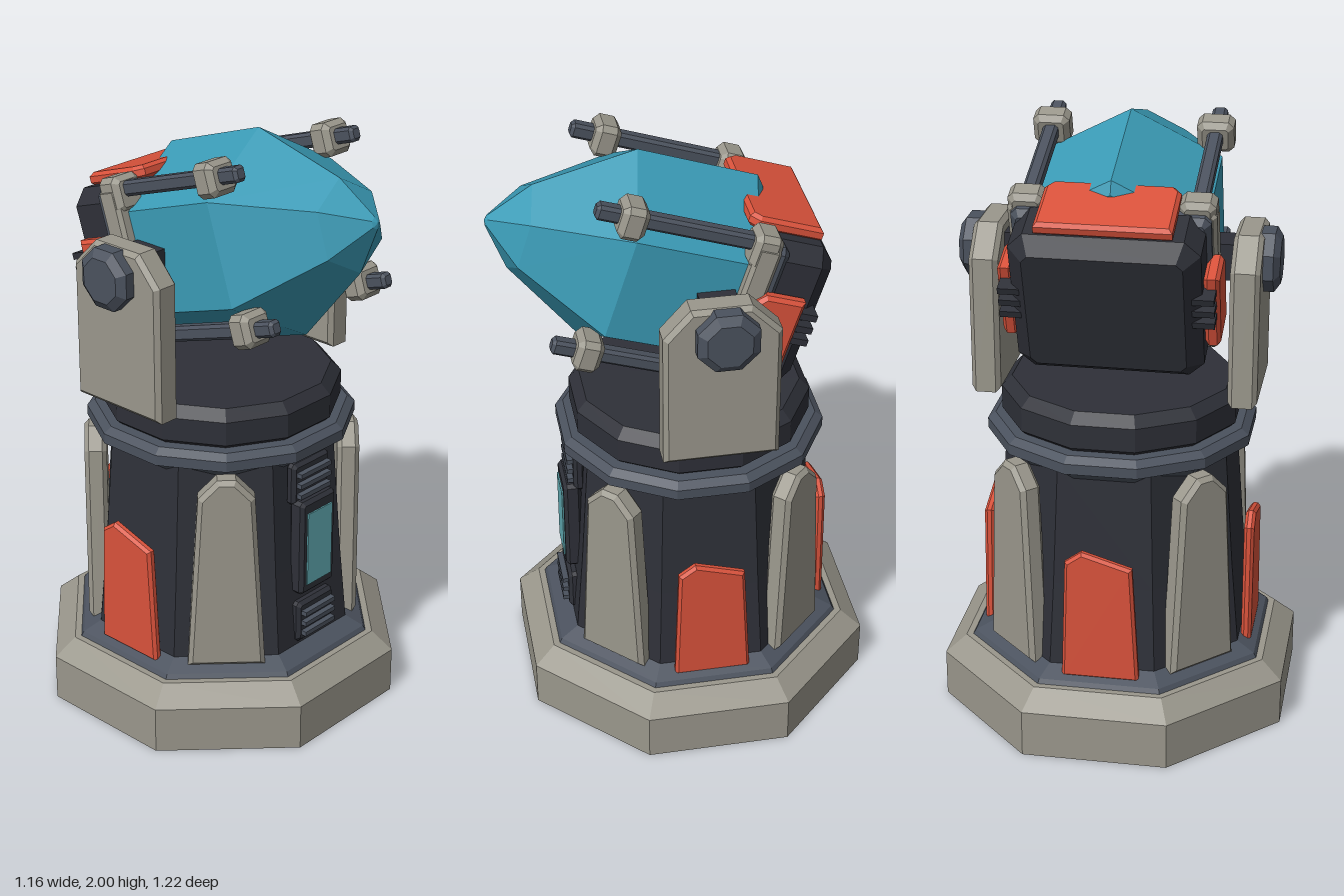
import * as THREE from 'three';

const mat = (color) => new THREE.MeshStandardMaterial({ color, flatShading: true });
const M = {
  armour: mat(0x9a978c), dark: mat(0x2e3038), steel: mat(0x4b525e),
  red: mat(0xd9523b), crystal: mat(0x3a9ab5), screen: mat(0x62adb5),
};

function add(parent, name, geo, material, x = 0, y = 0, z = 0) {
  const m = new THREE.Mesh(geo, material);
  m.name = name;
  m.position.set(x, y, z);
  parent.add(m);
  return m;
}

// Many-sided turned solid; radii are measured to the flats, which face the axes
function turned(profile, sides) {
  const k = 1 / Math.cos(Math.PI / sides);
  return new THREE.LatheGeometry(
    profile.map(([r, y]) => new THREE.Vector2(r * k, y)), sides, Math.PI / sides);
}

// Outline extruded to depth d, centred on z, with a chamfer b kept inside the depth
function plate(pts, d, b = 0.012) {
  const g = new THREE.ExtrudeGeometry(
    new THREE.Shape(pts.map(([x, y]) => new THREE.Vector2(x, y))),
    { depth: d - 2 * b, bevelThickness: b, bevelSize: b, bevelOffset: -b, bevelSegments: 1 });
  return g.translate(0, 0, b - d / 2);
}

// Box with chamfered corners
function block(w, h, d, b = 0.012) {
  const x = w / 2, y = h / 2;
  return plate([[-x + b, -y], [x - b, -y], [x, -y + b], [x, y - b],
    [x - b, y], [-x + b, y], [-x, y - b], [-x, -y + b]], d, b);
}

function buildTower() {
  const tower = new THREE.Group();
  tower.name = 'tower';
  tower.position.z = -0.03;
  add(tower, 'base', turned([[0, 0], [0.578, 0], [0.578, 0.16], [0.51, 0.22], [0, 0.22]], 8), M.armour);
  add(tower, 'skirt', turned([[0.5, 0.2], [0.48, 0.235], [0.42, 0.265], [0, 0.265]], 8), M.steel);
  add(tower, 'body', turned([[0.425, 0.22], [0.395, 0.55], [0.365, 0.96]], 8), M.dark);
  add(tower, 'collar', turned([[0.35, 0.9], [0.385, 0.94], [0.435, 0.965], [0.435, 1.0],
    [0.41, 1.02], [0, 1.02]], 12), M.steel);
  add(tower, 'turntable', turned([[0.36, 1.01], [0.388, 1.035], [0.388, 1.115],
    [0.355, 1.15], [0, 1.15]], 12), M.dark);

  // Buttresses on the four diagonal faces
  const buttress = plate([[-0.128, 0.25], [0.128, 0.25], [0.092, 0.87], [0.03, 0.935],
    [-0.03, 0.935], [-0.092, 0.87]], 0.075, 0.015);
  for (let i = 0; i < 4; i++) {
    const a = Math.PI / 4 + i * Math.PI / 2;
    add(tower, 'buttress', buttress, M.armour, 0.425 * Math.sin(a), 0, 0.425 * Math.cos(a)).rotation.y = a;
  }
  // Red guards on both sides and the back
  const guard = plate([[-0.128, 0.24], [0.128, 0.24], [0.105, 0.65], [-0.06, 0.7], [-0.115, 0.66]], 0.034, 0.01);
  for (let i = 1; i < 4; i++) {
    const a = i * Math.PI / 2;
    add(tower, 'guard', guard, M.red, 0.444 * Math.sin(a), 0, 0.444 * Math.cos(a)).rotation.y = a;
  }
  // Front screen with a vent above and below
  add(tower, 'screenFrame', block(0.17, 0.345, 0.06), M.dark, 0, 0.628, 0.41);
  add(tower, 'screen', new THREE.BoxGeometry(0.12, 0.265, 0.02), M.screen, 0, 0.625, 0.435);
  for (const [y, z] of [[0.855, 0.385], [0.35, 0.415]]) {
    add(tower, 'ventPanel', block(0.18, 0.15, 0.04), M.dark, 0, y, z);
    for (const k of [-1, 0, 1])
      add(tower, 'ventFin', new THREE.BoxGeometry(0.15, 0.016, 0.03), M.steel, 0, y + k * 0.038, z + 0.025);
  }
  return tower;
}

function buildHead() {
  const head = new THREE.Group();
  head.name = 'head';
  head.position.set(0, 1.58, -0.06);
  head.rotation.x = -0.314;

  // Six-sided crystal pointing forward
  const gem = new THREE.LatheGeometry([[0, -0.13], [0.3, -0.12], [0.335, -0.09], [0.337, 0.31], [0.15, 0.595],
    [0.02, 0.7], [0, 0.708]].map(([r, y]) => new THREE.Vector2(r, y)), 6);
  add(head, 'crystal', gem.rotateX(Math.PI / 2), M.crystal);

  // Housing behind the crystal
  add(head, 'housing', block(0.6, 0.52, 0.24, 0.05), M.dark, 0, -0.005, -0.21);
  add(head, 'housingRim', block(0.63, 0.5, 0.08, 0.02), M.steel, 0, 0, -0.125);
  const cover = plate([[-0.215, -0.24], [0.215, -0.24], [0.215, -0.03], [0.19, 0], [0.06, 0],
    [0.04, -0.03], [-0.04, -0.03], [-0.06, 0], [-0.19, 0], [-0.215, -0.03]], 0.045, 0.012);
  add(head, 'topCover', cover.rotateX(Math.PI / 2).scale(1, 1, 1), M.red, 0, 0.272, -0.04);

  const sidePlate = plate([[-0.08, -0.15], [0.08, -0.15], [0.08, 0.11], [-0.05, 0.11], [-0.08, 0.08]], 0.05);
  sidePlate.rotateY(Math.PI / 2);
  for (const s of [-1, 1]) {
    add(head, 'sidePlate', sidePlate, M.red, s * 0.325, -0.01, -0.175);
    add(head, 'frameColumn', block(0.06, 0.5, 0.08), M.armour, s * 0.3, 0, -0.09);
    for (let i = 0; i < 3; i++)
      add(head, 'sideFin', new THREE.BoxGeometry(0.07, 0.022, 0.09), M.dark, s * 0.305, 0.05 - i * 0.045, -0.265);
    // Rails held by clamps, above and below
    for (const t of [-1, 1]) {
      add(head, 'rail', block(0.05, 0.05, 0.58, 0.01), M.steel, s * 0.27, t * 0.24, 0.17);
      add(head, 'frontClamp', block(0.12, 0.11, 0.085, 0.018), M.armour, s * 0.27, t * 0.237, 0.345);
      add(head, 'rearClamp', block(0.115, 0.12, 0.09, 0.018), M.armour, s * 0.27, t * 0.225, -0.085);
    }
  }
  return head;
}

export function createModel() {
  const model = new THREE.Group();
  model.name = 'crystalTurret';
  model.add(buildTower(), buildHead());

  // Yoke arms with pivot bolts
  const arm = plate([[-0.185, 1.13], [0.185, 1.13], [0.185, 1.585], [0.09, 1.68],
    [-0.1, 1.68], [-0.185, 1.585]], 0.095, 0.015);
  arm.rotateY(Math.PI / 2);
  const bolt = turned([[0, -0.03], [0.097, -0.03], [0.097, 0.035], [0.07, 0.055], [0, 0.055]], 8);
  for (const s of [-1, 1]) {
    add(model, 'yokeArm', arm, M.armour, s * 0.418, 0, -0.05);
    add(model, 'pivotBolt', bolt, M.steel, s * 0.463, 1.58, -0.06).rotation.z = -s * Math.PI / 2;
    add(model, 'pivotAxle', new THREE.BoxGeometry(0.1, 0.12, 0.12), M.dark, s * 0.33, 1.58, -0.06);
  }
  return model;
}
